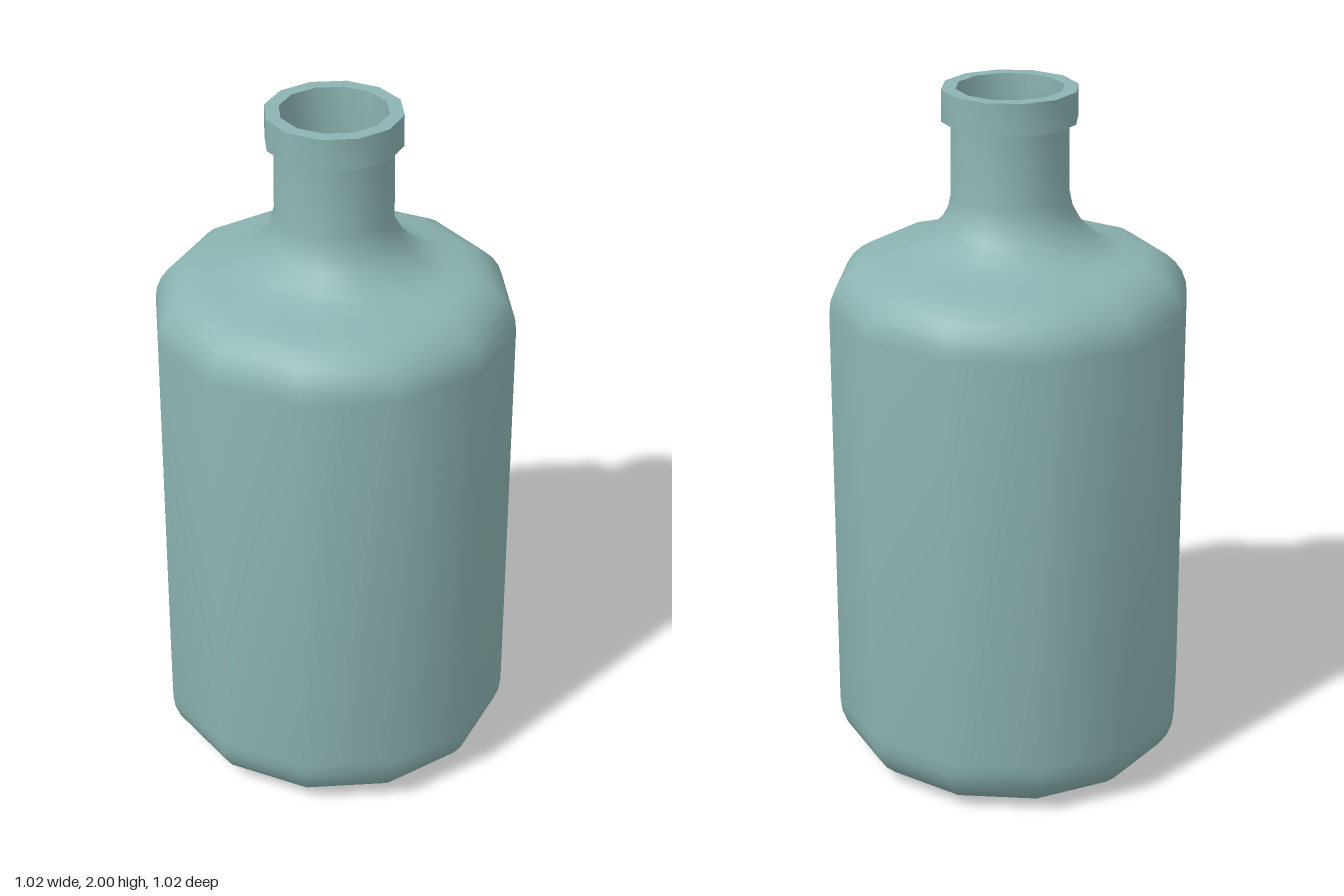
import * as THREE from 'three';
import { toCreasedNormals } from 'three/addons/utils/BufferGeometryUtils.js';

const SIDES = 12;
const WALL = 0.02;

// Quarter-round points about a centre, from one angle to another
function arc(cx, cy, rx, ry, from, to, steps = 6) {
  return Array.from({ length: steps + 1 }, (_, i) => {
    const a = THREE.MathUtils.degToRad(from + ((to - from) * i) / steps);
    return [cx + rx * Math.cos(a), cy + ry * Math.sin(a)];
  });
}

export function createModel() {
  const bottle = new THREE.Group();
  bottle.name = 'bottle';
  const glass = new THREE.MeshStandardMaterial({ color: 0x8cb4b2, side: THREE.DoubleSide });

  function addLathe(name, points) {
    const profile = points.map(([r, y]) => new THREE.Vector2(r, y));
    const geometry = toCreasedNormals(new THREE.LatheGeometry(profile, SIDES), 0.75);
    const mesh = new THREE.Mesh(geometry, glass);
    mesh.name = name;
    bottle.add(mesh);
  }

  // Outer wall: base, rounded heel, straight side, shoulder, flared neck root
  addLathe('body', [
    [0.007, 0], [0.32, 0],
    ...arc(0.34, 0.17, 0.17, 0.17, -85, 0),
    ...arc(0.34, 1.38, 0.17, 0.15, 0, 75),
    [0.32, 1.537], [0.275, 1.552], [0.235, 1.577], [0.2, 1.614],
    [0.177, 1.655], [0.167, 1.7], [0.165, 1.91],
  ]);

  // Collar round the mouth, with its flat rim
  addLathe('lip', [[0.165, 1.91], [0.19, 1.91], [0.19, 2], [0.15, 2]]);

  // Hollow inside, from the mouth down to the floor
  addLathe('innerWall', [
    [0.15, 2], [0.147, 1.7], [0.16, 1.64], [0.185, 1.595], [0.23, 1.55], [0.28, 1.525],
    ...arc(0.34, 1.38, 0.17 - WALL, 0.15 - WALL, 75, 0),
    ...arc(0.34, 0.17, 0.17 - WALL, 0.17 - WALL, 0, -85),
    [0.32, WALL], [0.007, WALL],
  ]);

  return bottle;
}
